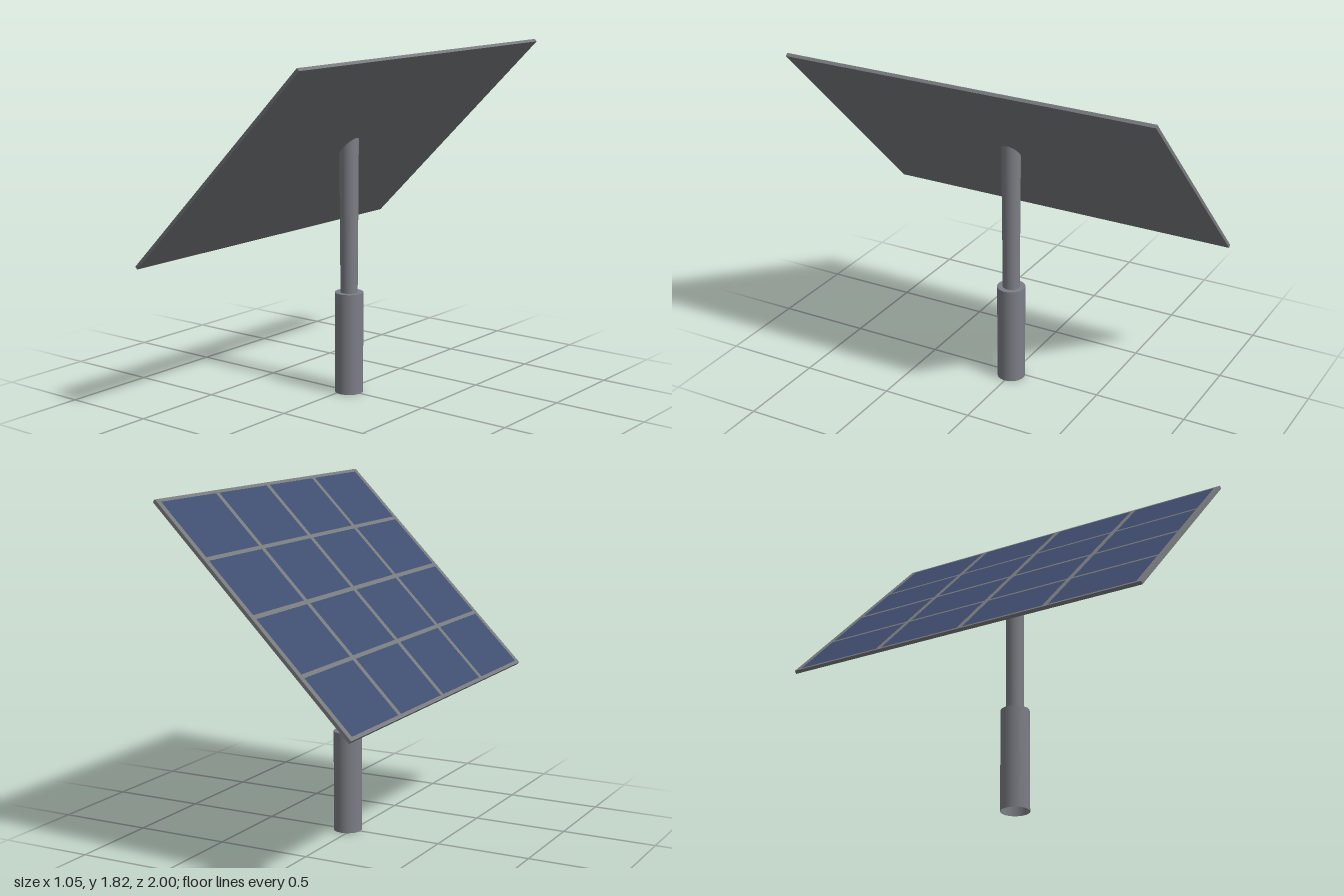
import * as THREE from 'three';

const TILT = Math.PI / 4, PANEL_Y = 1.292, AXIS_X = 0.028;
const THICK = 0.018, LENGTH = 1.472, WIDTH = 2;

const metal = new THREE.MeshStandardMaterial({ color: 0x7b7e85, side: THREE.DoubleSide });
const frameMat = new THREE.MeshStandardMaterial({ color: 0x777a7c });
const cellMat = new THREE.MeshStandardMaterial({ color: 0x3f4d70 });

function add(parent, name, geometry, material, x = 0, y = 0, z = 0) {
  const mesh = new THREE.Mesh(geometry, material);
  mesh.name = name;
  mesh.position.set(x, y, z);
  parent.add(mesh);
  return mesh;
}

// Mirrors a list of [inner, outer] spans to both sides of the centre
const mirrored = (spans) => [...spans, ...spans.map(([a, b]) => [-b, -a])];

function createPanel() {
  const panel = new THREE.Group();
  panel.name = 'panel';
  const cellDepth = 0.003;

  // Solid backing sheet
  const backDepth = THICK - cellDepth;
  add(panel, 'panelBacking', new THREE.BoxGeometry(LENGTH, backDepth, WIDTH), frameMat, 0, -cellDepth / 2, 0);

  // Frame grid with one opening per cell, and the cells set into it
  const grid = new THREE.Shape([
    new THREE.Vector2(-LENGTH / 2, -WIDTH / 2), new THREE.Vector2(LENGTH / 2, -WIDTH / 2),
    new THREE.Vector2(LENGTH / 2, WIDTH / 2), new THREE.Vector2(-LENGTH / 2, WIDTH / 2),
  ]);
  const top = THICK / 2;
  for (const [u0, u1] of mirrored([[0.012, 0.347], [0.369, 0.717]])) {
    for (const [z0, z1] of mirrored([[0.016, 0.467], [0.498, 0.968]])) {
      grid.holes.push(new THREE.Path([
        new THREE.Vector2(u0, z0), new THREE.Vector2(u0, z1),
        new THREE.Vector2(u1, z1), new THREE.Vector2(u1, z0),
      ]));
      add(panel, 'solarCell', new THREE.BoxGeometry(u1 - u0, cellDepth, z1 - z0), cellMat,
        (u0 + u1) / 2, top - cellDepth / 2 - 0.0005, (z0 + z1) / 2);
    }
  }
  const gridGeo = new THREE.ExtrudeGeometry(grid, { depth: cellDepth, bevelEnabled: false });
  gridGeo.rotateX(-Math.PI / 2);
  add(panel, 'panelFrame', gridGeo, frameMat, 0, top - cellDepth, 0);

  panel.position.y = PANEL_Y;
  panel.rotation.z = TILT;
  return panel;
}

// Slightly flared pole whose top ring is cut to the slope of the panel
function createPole() {
  const y0 = 0.5, y1 = 1.3, r0 = 0.045, r1 = 0.05;
  const geo = new THREE.CylinderGeometry(r1, r0, y1 - y0, 32, 1, true);
  geo.translate(AXIS_X, (y0 + y1) / 2, 0);
  const p = geo.attributes.position;
  for (let i = 0; i < p.count; i++) {
    if (p.getY(i) > 1) p.setY(i, PANEL_Y - 0.005 + p.getX(i));
  }
  return geo;
}

export function createModel() {
  const model = new THREE.Group();
  model.name = 'solarPanelOnPole';

  // Base sleeve: open at the bottom, with a flat shoulder around the pole
  const h = 0.54, r = 0.075;
  add(model, 'baseSleeve', new THREE.CylinderGeometry(r, r, h, 32, 1, true), metal, AXIS_X, h / 2, 0);
  const shoulder = new THREE.RingGeometry(0.044, r, 32);
  shoulder.rotateX(-Math.PI / 2);
  add(model, 'baseShoulder', shoulder, metal, AXIS_X, h, 0);

  add(model, 'pole', createPole(), metal);
  model.add(createPanel());
  return model;
}
